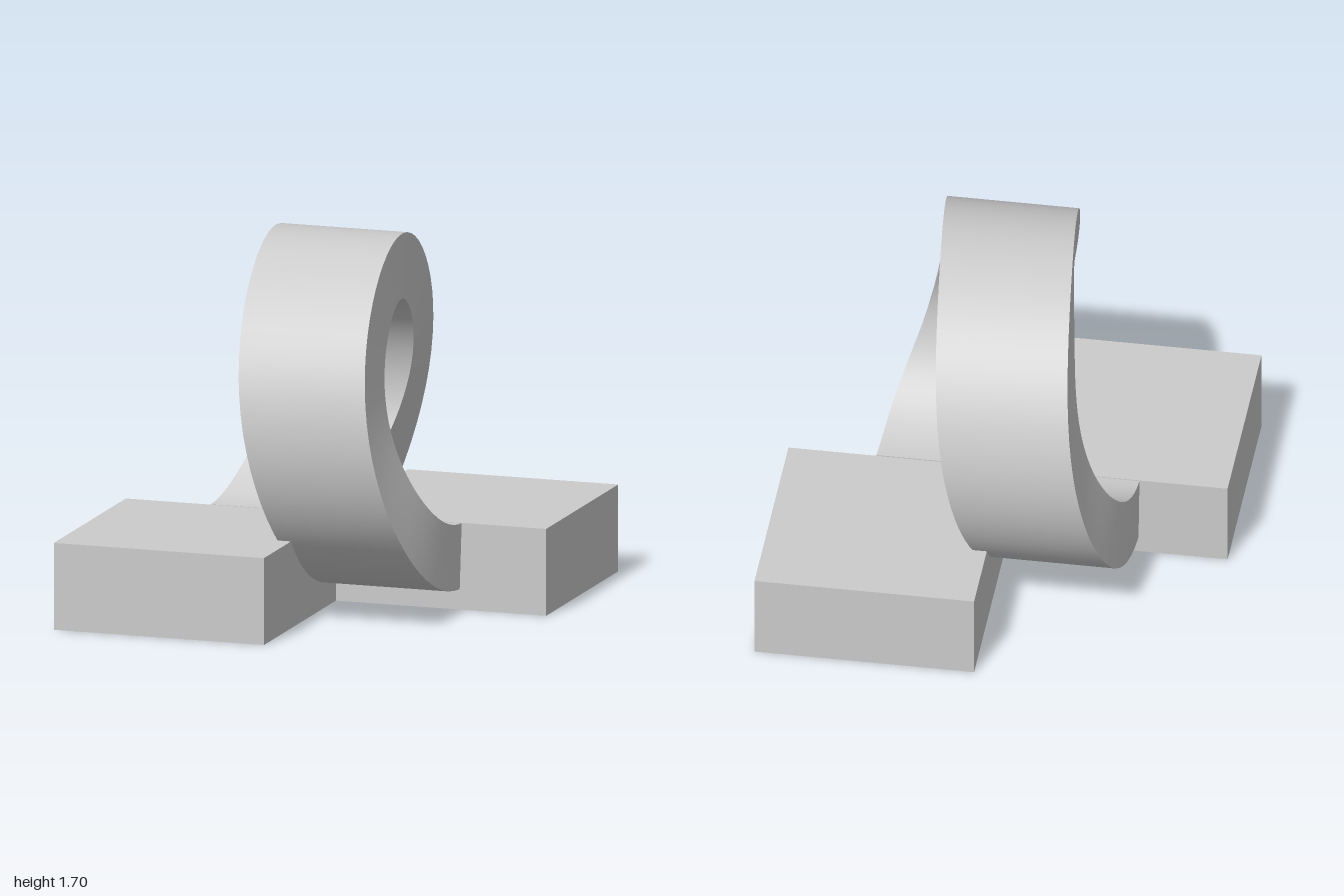
import * as THREE from 'three';
import { toCreasedNormals } from 'three/addons/utils/BufferGeometryUtils.js';

const material = new THREE.MeshStandardMaterial({ color: 0xcccccc });

// Sideways position of the band's middle; a is the angle from the bottom start
function drift(a) {
  const u = Math.PI - a;
  return 0.0955 * u - 0.004 * Math.sin(u) - 0.02 * Math.sin(2 * u) + 0.011 * Math.sin(3 * u);
}

// One full turn of a rectangular band that shifts sideways as it goes round
function bandGeometry(steps = 60) {
  // Section corners: x offset, radius, angle trimmed off each end
  const corners = [[-0.3, 0.8, 0.038], [0.3, 0.8, 0.038], [0.3, 0.5, 0.01], [-0.3, 0.5, 0.01]];
  const positions = [];
  const index = [];
  for (let i = 0; i <= steps; i++) {
    for (const [dx, r, trim] of corners) {
      const a = trim + (i / steps) * (2 * Math.PI - 2 * trim);
      positions.push(drift(a) + dx, 0.9 - r * Math.cos(a), r * Math.sin(a));
    }
  }
  for (let i = 0; i < steps; i++) {
    for (let j = 0; j < 4; j++) {
      const a = i * 4 + j;
      const b = i * 4 + (j + 1) % 4;
      index.push(a, b, b + 4, a, b + 4, a + 4);
    }
  }
  // End caps
  const e = steps * 4;
  index.push(0, 2, 1, 0, 3, 2, e, e + 1, e + 2, e, e + 2, e + 3);
  const geometry = new THREE.BufferGeometry();
  geometry.setAttribute('position', new THREE.Float32BufferAttribute(positions, 3));
  geometry.setIndex(index);
  return toCreasedNormals(geometry, 0.6);
}

export function createModel() {
  const group = new THREE.Group();

  // Two slabs meeting at one corner edge
  for (const [name, side] of [['leftSlab', 1], ['rightSlab', -1]]) {
    const slab = new THREE.Mesh(new THREE.BoxGeometry(1, 0.4, 1), material);
    slab.name = name;
    slab.position.set(0.5 * side, 0.2, -0.5 * side);
    group.add(slab);
  }

  // Looping band between the slabs
  const band = new THREE.Mesh(bandGeometry(), material);
  band.name = 'loopBand';
  group.add(band);

  return group;
}
